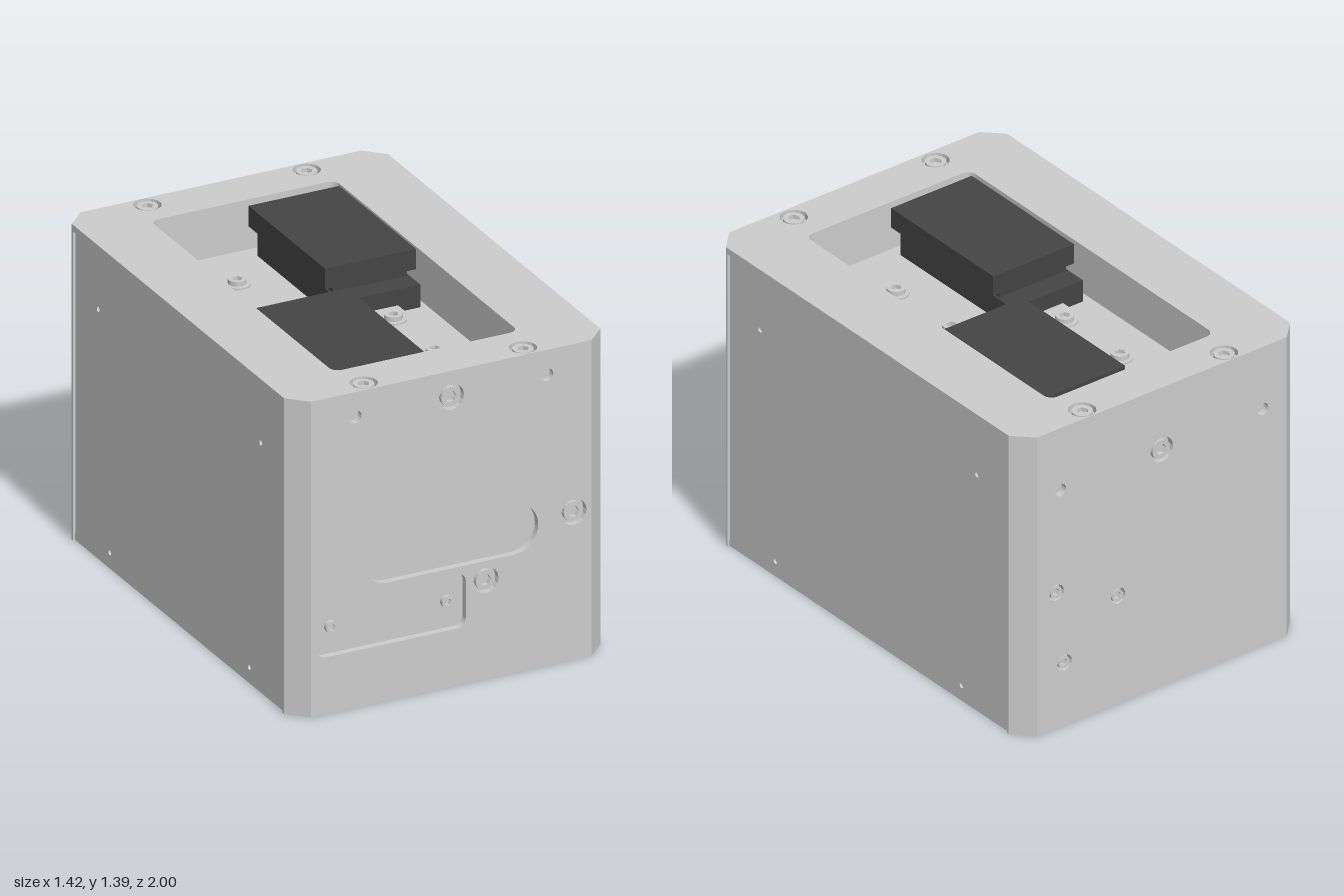
import * as THREE from 'three';

const grey = new THREE.MeshStandardMaterial({ color: 0xcccccc });
const dark = new THREE.MeshStandardMaterial({ color: 0x444444 });
const T = 0.03; // cover plate thickness

function mesh(name, geo, mat = grey) {
  const m = new THREE.Mesh(geo, mat);
  m.name = name;
  return m;
}

function box(name, x0, x1, y0, y1, z0, z1, mat) {
  const m = mesh(name, new THREE.BoxGeometry(x1 - x0, y1 - y0, z1 - z0), mat);
  m.position.set((x0 + x1) / 2, (y0 + y1) / 2, (z0 + z1) / 2);
  return m;
}

function ring(Kind, x, y, r) {
  const p = new Kind();
  p.absarc(x, y, r, 0, Math.PI * 2);
  return p;
}

function roundRect(Kind, x0, x1, y0, y1, r) {
  const p = new Kind();
  p.absarc(x1 - r, y1 - r, r, 0, Math.PI / 2);
  p.absarc(x0 + r, y1 - r, r, Math.PI / 2, Math.PI);
  p.absarc(x0 + r, y0 + r, r, Math.PI, Math.PI * 1.5);
  p.absarc(x1 - r, y0 + r, r, Math.PI * 1.5, Math.PI * 2);
  p.closePath();
  return p;
}

function rect(x0, x1, y0, y1) {
  return new THREE.Shape([[x0, y0], [x1, y0], [x1, y1], [x0, y1]].map(p => new THREE.Vector2(...p)));
}

// Chamfered footprint; the sides and ends may be set back to seat panels
function footprint(sideX, endZ) {
  const q = [[sideX, 0], [sideX, 0.91], [0.71, 0.91], [0.71, 0.92], [0.63, 1], [0.63, endZ]];
  const half = [...q, ...q.slice(1).reverse().map(([x, z]) => [-x, z])];
  const pts = [...half, [-sideX, 0], ...half.slice(1).map(([x, z]) => [-x, -z])];
  return new THREE.Shape(pts.map(p => new THREE.Vector2(...p)));
}

function extrude(shape, holes, depth) {
  shape.holes.push(...holes);
  return new THREE.ExtrudeGeometry(shape, { depth, bevelEnabled: false, curveSegments: 8 });
}

// Socket-head screw facing +z, top of the head at z = 0
function screw(r) {
  const g = new THREE.Group();
  g.name = 'screw';
  const hex = new THREE.Path();
  for (let i = 0; i <= 6; i++) {
    const a = i * Math.PI / 3, x = Math.cos(a) * r * 0.58, y = Math.sin(a) * r * 0.58;
    i ? hex.lineTo(x, y) : hex.moveTo(x, y);
  }
  const head = mesh('screwHead', extrude(ring(THREE.Shape, 0, 0, r), [hex], 0.02));
  head.position.z = -0.02;
  const floor = mesh('screwSocketFloor', new THREE.CircleGeometry(r * 0.7, 12));
  floor.position.z = -0.018;
  g.add(head, floor);
  return g;
}

// Plate with counterbored screws [x, y, holeRadius], plain holes and cutouts
function plate(name, shape, { screws = [], holes = [], cutouts = [], depth = T }) {
  const g = new THREE.Group();
  g.name = name;
  const bores = [...screws, ...holes].map(([x, y, r]) => ring(THREE.Path, x, y, r));
  g.add(mesh(name + 'Sheet', extrude(shape, [...bores, ...cutouts], depth)));
  for (const [x, y, r] of screws) {
    const s = screw(r * 0.76);
    s.position.set(x, y, depth - 0.004);
    g.add(s);
  }
  return g;
}

export function createModel() {
  const model = new THREE.Group();
  const floorY = 1.17, plateY = 1.36;
  const opening = () => roundRect(THREE.Path, -0.42, 0.41, -0.79, 0.8, 0.04);

  // Solid lower body and the walls around the recess
  const lower = mesh('body', extrude(footprint(0.69, 0.97), [], floorY - T));
  lower.rotation.x = -Math.PI / 2;
  lower.position.y = T;
  const walls = mesh('recessWalls', extrude(footprint(0.69, 0.97), [opening()], plateY - floorY));
  walls.rotation.x = -Math.PI / 2;
  walls.position.y = floorY;
  model.add(lower, walls);

  // Top frame
  const corners = [[0.355, 0.94], [-0.36, 0.94], [0.355, -0.935], [-0.36, -0.935]].map(p => [...p, 0.057]);
  const top = plate('topFrame', footprint(0.71, 1), { screws: corners, cutouts: [opening()] });
  top.rotation.x = -Math.PI / 2;
  top.position.y = plateY;

  // Base plate, facing down
  const base = plate('basePlate', footprint(0.7, 1), {
    screws: [...corners.map(([x, z]) => [x, z, 0.05]), [0.27, -0.82, 0.045], [-0.6, -0.1, 0.045]],
    holes: [[0.58, -0.95], [-0.58, -0.93], [0.58, 0.95], [-0.58, 0.95], [0, 0.96]].map(p => [...p, 0.025]),
  });
  base.rotation.x = Math.PI / 2;
  base.position.y = T;

  // Front panel with a slot and a shallow pocket
  const front = plate('frontPanel', rect(-0.63, 0.63, T, plateY), {
    screws: [[0, 1.275, 0.057], [0.55, 0.65, 0.057], [0.155, 0.435, 0.057]],
    holes: [[-0.43, 1.28, 0.028], [0.43, 1.28, 0.028]],
    cutouts: [
      roundRect(THREE.Path, -0.395, 0.39, 0.52, 0.74, 0.109),
      roundRect(THREE.Path, -0.605, 0.065, 0.25, 0.49, 0.04),
    ],
  });
  for (const x of [-0.53, -0.01]) {
    const s = screw(0.026);
    s.position.set(x, 0.37, 0.02);
    front.add(s);
  }
  front.position.z = 0.97;

  // Back panel
  const back = plate('backPanel', rect(-0.63, 0.63, T, plateY), {
    screws: [[0, 1.1, 0.057], [-0.53, 0.63, 0.036], [-0.22, 0.5, 0.036], [-0.49, 0.29, 0.036]],
    holes: [[-0.51, 1.1, 0.028], [0.51, 1.1, 0.028]],
  });
  back.rotation.y = Math.PI;
  back.position.z = -0.97;
  model.add(top, base, front, back);

  // Side panels, set slightly below the corner posts
  for (const s of [1, -1]) {
    const side = plate(s > 0 ? 'leftPanel' : 'rightPanel', rect(-0.905, 0.905, T, plateY - 0.006), {
      holes: [[-0.71, 1.1], [0.7, 1.1], [-0.61, 0.07], [0.6, 0.07]].map(p => [...p, 0.012]),
      depth: 0.01,
    });
    side.rotation.y = s * Math.PI / 2;
    side.position.x = s * 0.69;
    model.add(side);
  }

  // Two identical rail-and-block units, turned half a revolution from each other
  for (const turn of [0, Math.PI]) {
    const unit = new THREE.Group();
    unit.name = turn ? 'rearUnit' : 'frontUnit';
    unit.add(
      box('blockCap', -0.41, -0.003, 1.29, 1.38, 0.1, 0.765, dark),
      box('blockBody', -0.38, -0.025, floorY, 1.27, 0.003, 0.73, dark),
      box('blockNeck', -0.37, -0.035, 1.26, 1.3, 0.1, 0.73, dark),
      box('rail', -0.28, -0.125, floorY, 1.2, -0.6, 0.003),
    );
    for (const z of [-0.47, -0.11]) {
      const washer = mesh('washer', new THREE.CylinderGeometry(0.055, 0.055, 0.008, 24));
      washer.position.set(-0.2, 1.204, z);
      const s = screw(0.038);
      s.rotation.x = -Math.PI / 2;
      s.position.set(-0.2, 1.228, z);
      unit.add(washer, s);
    }
    unit.rotation.y = turn;
    model.add(unit);
  }
  return model;
}
